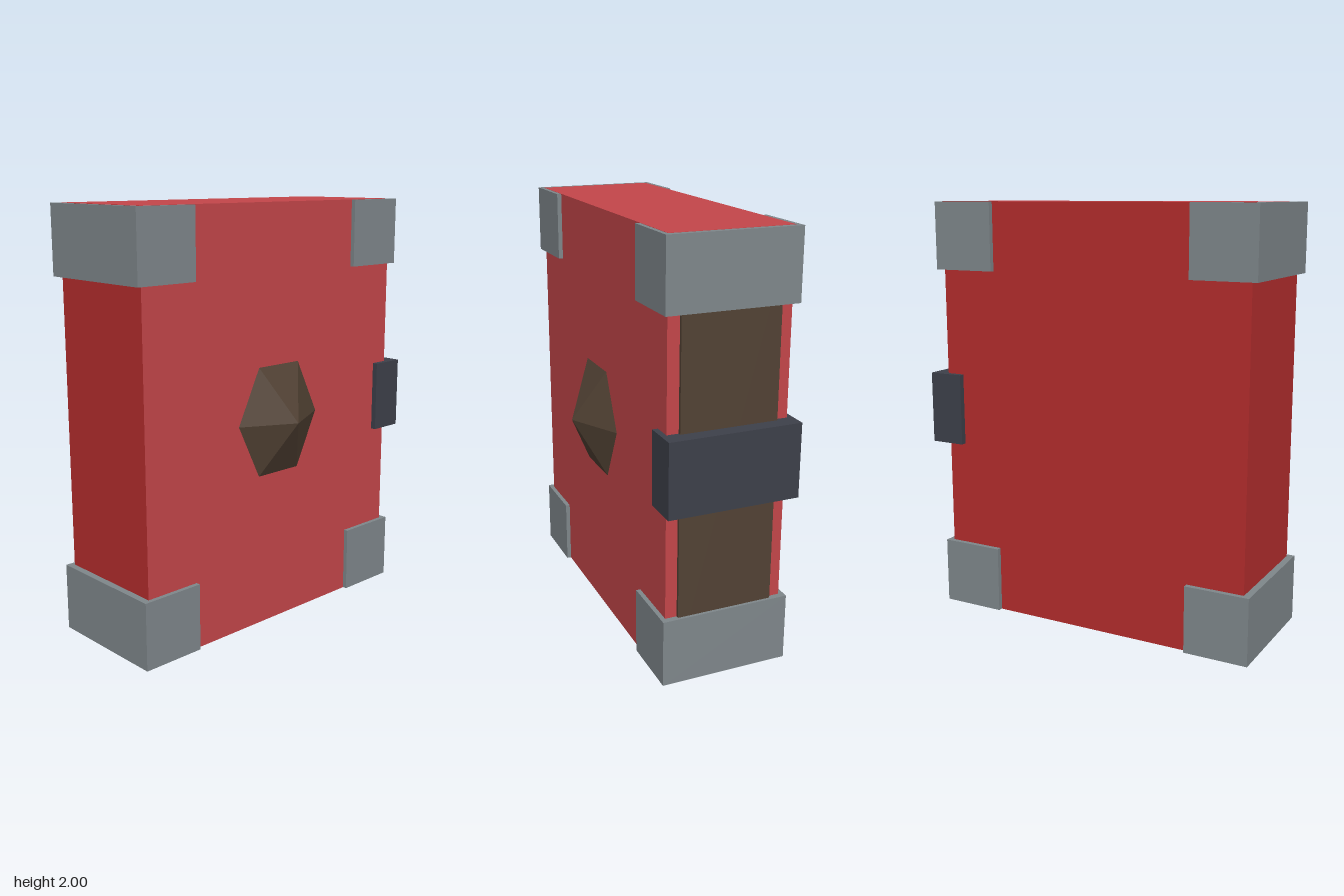
import * as THREE from 'three';

const mat = (name, color) => {
  const m = new THREE.MeshStandardMaterial({ color });
  m.name = name;
  return m;
};

export function createModel() {
  const red = mat('coverRed', 0xc4464a);
  const darkRed = mat('backRed', 0xb42d2d);
  const brown = mat('brown', 0x524234);
  const grey = mat('cornerGrey', 0x7f878b);
  const slate = mat('claspSlate', 0x3d404a);

  const book = new THREE.Group();
  book.name = 'book';

  // Box given by its limits on each axis
  const box = (name, material, [x0, x1], [y0, y1], [z0, z1]) => {
    const mesh = new THREE.Mesh(new THREE.BoxGeometry(x1 - x0, y1 - y0, z1 - z0), material);
    mesh.position.set((x0 + x1) / 2, (y0 + y1) / 2, (z0 + z1) / 2);
    mesh.name = name;
    book.add(mesh);
  };

  // Cover block: the spine (-x) and back (-z) are a deeper red
  box('cover', [red, darkRed, red, red, red, darkRed], [-0.81, 0.755], [0, 2], [-0.34, 0.225]);

  // Page block standing slightly proud of the open side
  box('pages', brown, [0.5, 0.77], [0.1, 1.9], [-0.285, 0.17]);

  // Four metal corner caps
  for (const [v, ys] of [['lower', [0.001, 0.32]], ['upper', [1.68, 1.999]]]) {
    box(v + 'RightCorner', grey, [-0.842, -0.535], ys, [-0.364, 0.246]);
    box(v + 'LeftCorner', grey, [0.473, 0.784], ys, [-0.364, 0.246]);
  }

  // Clasp wrapping the open side
  box('clasp', slate, [0.667, 0.838], [0.83, 1.175], [-0.367, 0.251]);

  // Six-sided pyramid stud on the front
  const cone = new THREE.ConeGeometry(0.253, 0.13, 6).toNonIndexed();
  cone.rotateY(Math.PI / 2);
  cone.rotateX(Math.PI / 2);
  cone.scale(1, 1.18, 1);
  cone.computeVertexNormals();
  const stud = new THREE.Mesh(cone, brown);
  stud.position.set(-0.03, 1.003, 0.302);
  stud.name = 'stud';
  book.add(stud);

  return book;
}
